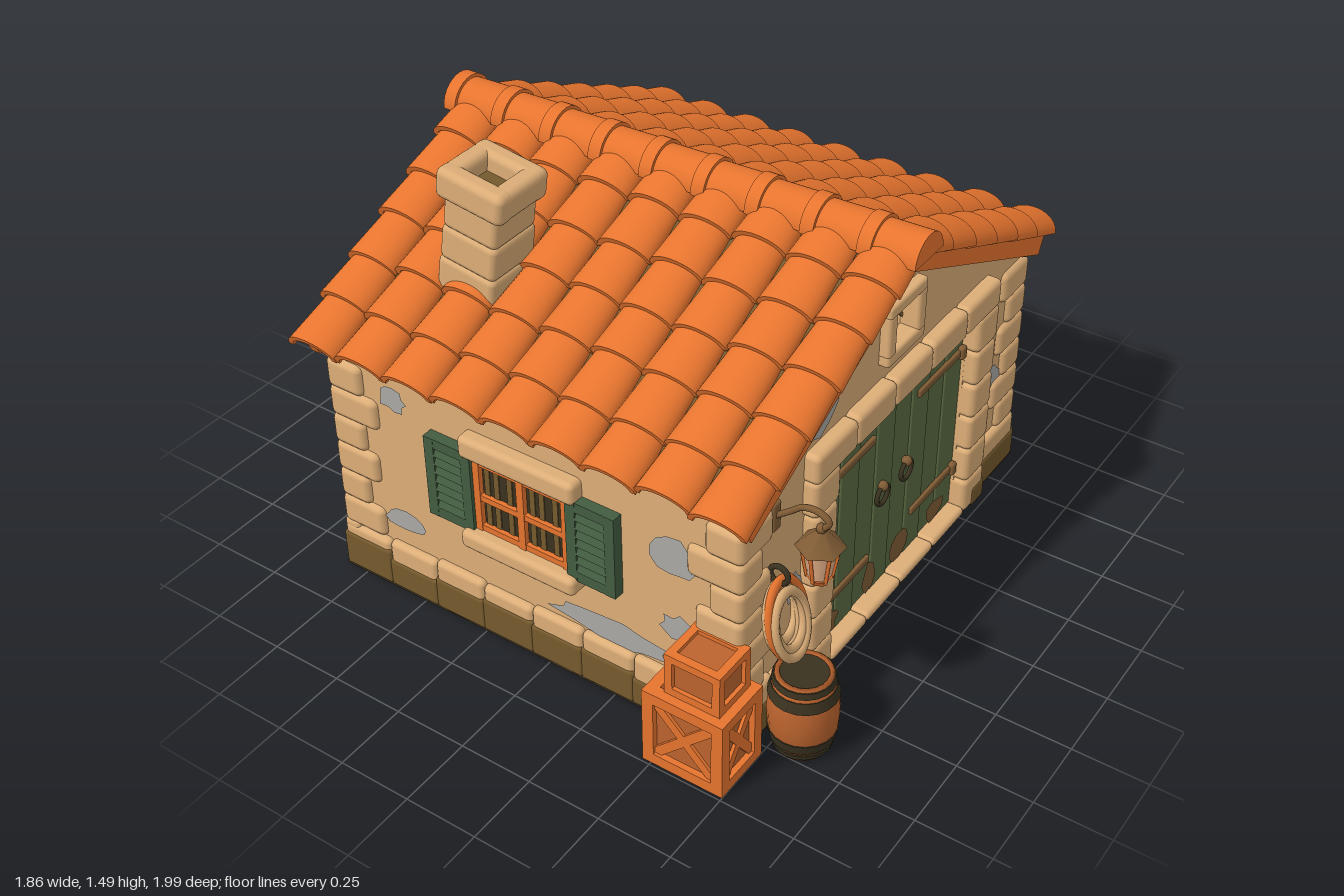
import * as THREE from 'three';
import { toCreasedNormals } from 'three/addons/utils/BufferGeometryUtils.js';
import { RoundedBoxGeometry } from 'three/addons/geometries/RoundedBoxGeometry.js';

export function createModel() {
  const mat = (name, color) => {
    const m = new THREE.MeshStandardMaterial({ color });
    m.name = name;
    return m;
  };
  const sand = mat('sandstone', 0xddae78), orange = mat('terracotta', 0xe8752f);
  const moss = mat('mossBrown', 0x765a2e), grey = mat('greyPlaster', 0xaaa9a6);
  const green = mat('doorGreen', 0x5b6b42), shutterGreen = mat('shutterGreen', 0x435c40);
  const dark = mat('darkIron', 0x3a3220), wood = mat('brownWood', 0x805c35);
  const barrelWood = mat('barrelWood', 0xbc642e), glow = mat('lampGlass', 0xf0b88e);

  const root = new THREE.Group();
  root.name = 'cottage';
  let seed = 7;
  const rnd = (a = -1, b = 1) => {
    seed = (seed * 16807) % 2147483647;
    return a + (b - a) * seed / 2147483647;
  };
  const mesh = (parent, name, geo, m, x = 0, y = 0, z = 0) => {
    const o = new THREE.Mesh(geo, m);
    o.name = name;
    o.position.set(x, y, z);
    parent.add(o);
    return o;
  };
  const group = (parent, name, x = 0, y = 0, z = 0, ry = 0) => {
    const g = new THREE.Group();
    g.name = name;
    g.position.set(x, y, z);
    g.rotation.y = ry;
    parent.add(g);
    return g;
  };
  const box = (p, name, m, w, h, d, x, y, z) => mesh(p, name, new THREE.BoxGeometry(w, h, d), m, x, y, z);
  const stone = (p, name, m, w, h, d, x, y, z, r = 0.02) =>
    mesh(p, name, new RoundedBoxGeometry(w, h, d, 2, Math.min(r, w / 2.1, h / 2.1, d / 2.1)), m, x, y, z);

  // Walls: solid core with a pierced gable at each end (shape x is -z)
  const gable = (pierced) => {
    const s = new THREE.Shape([[-0.8, 0.006], [0.9, 0.006], [0.9, 0.84], [0.02, 1.28], [-0.8, 0.86]].map(p => new THREE.Vector2(...p)));
    const hole = (x0, x1, y0, y1) => s.holes.push(new THREE.Path([[x0, y0], [x0, y1], [x1, y1], [x1, y0]].map(p => new THREE.Vector2(...p))));
    if (pierced) { hole(-0.34, 0.52, 0.02, 0.79); hole(-0.025, 0.115, 0.99, 1.13); }
    return s;
  };
  const wall = (name, pierced, x, depth) =>
    mesh(root, name, new THREE.ExtrudeGeometry(gable(pierced), { depth, bevelEnabled: false }).rotateY(Math.PI / 2), sand, x);
  wall('wallCore', false, -0.75, 1.37);
  wall('doorGable', true, 0.62, 0.06);
  wall('rearGable', true, -0.81, 0.06);
  box(root, 'underside', dark, 1.54, 0.01, 1.74, -0.065, 0.005, -0.045);

  // Plinth stones with a mossy foot, along a line from a to b
  const plinth = (ax, az, bx, bz) => {
    const len = Math.hypot(bx - ax, bz - az), n = Math.max(1, Math.round(len / 0.19));
    const g = group(root, 'plinth', ax, 0.003, az, Math.atan2(az - bz, bx - ax));
    for (let i = 0; i < n; i++) {
      const w = len / n, x = (i + 0.5) * w, h = rnd(0.175, 0.195), mh = rnd(0.1, 0.145);
      stone(g, 'plinthStone', sand, w + 0.004, h, 0.07, x, h / 2, 0);
      stone(g, 'mossyFoot', moss, w + 0.01, mh, 0.08, x, mh / 2, 0, 0.015);
    }
  };
  plinth(-0.83, 0.79, 0.7, 0.79);
  plinth(-0.83, -0.885, 0.7, -0.885);
  for (const x of [0.67, -0.8]) { plinth(x, 0.82, x, 0.47); plinth(x, -0.64, x, -0.91); }

  // Corner stones
  for (const sx of [-1, 1]) for (const sz of [-1, 1]) for (let i = 0; i < 6; i++) {
    const w = (i % 2 ? 0.13 : 0.18) + rnd() * 0.015, d = (i % 2 ? 0.18 : 0.13) + rnd() * 0.015;
    stone(root, 'cornerStone', sand, w, 0.116, d, (sx > 0 ? 0.7 : -0.835) - sx * w / 2, 0.235 + i * 0.108,
      (sz > 0 ? 0.82 : -0.918) - sz * d / 2, 0.025);
  }

  // Irregular thin patches of bare plaster, rust and moss
  const patch = (name, m, x, y, z, ry, rx, rY) => {
    const pts = [];
    for (let i = 0; i < 13; i++) {
      const a = i / 13 * Math.PI * 2, r = rnd(0.72, 1.15);
      pts.push(new THREE.Vector2(Math.cos(a) * rx * r, Math.sin(a) * rY * r));
    }
    mesh(root, name, new THREE.ShapeGeometry(new THREE.Shape(pts)), m, x, y, z).rotation.y = ry;
  };
  for (const [x, y, a, b] of [[0.47, 0.63, 0.09, 0.075], [0.24, 0.235, 0.24, 0.05], [0.47, 0.37, 0.06, 0.05], [-0.58, 0.76, 0.06, 0.045], [-0.58, 0.28, 0.08, 0.04]])
    patch('barePlaster', grey, x, y, 0.804, 0, a, b);
  for (const [x, y, a, b] of [[0.2, 0.24, 0.08, 0.04], [-0.5, 0.25, 0.05, 0.04]]) patch('barePlaster', grey, x, y, -0.904, Math.PI, a, b);
  for (const [z, y, a, b] of [[0.41, 0.98, 0.12, 0.075], [0.51, 0.42, 0.04, 0.06], [-0.72, 0.42, 0.08, 0.08], [-0.7, 0.75, 0.04, 0.035]])
    patch('barePlaster', grey, 0.684, y, z, Math.PI / 2, a, b);
  for (const [z, a, b] of [[0.27, 0.05, 0.05], [0.03, 0.04, 0.07], [-0.16, 0.06, 0.06], [-0.4, 0.06, 0.04]])
    patch('doorRust', wood, 0.673, 0.04 + b, z, Math.PI / 2, a, b);

  // Doorway and vent trim, local +z faces out of each gable
  const trim = (name, x, ry, ventX) => {
    const g = group(root, name, x, 0.003, -0.09, ry);
    for (const s of [-1, 1]) {
      for (let i = 0; i < 6; i++)
        stone(g, 'jambStone', sand, 0.13 + rnd() * 0.008, 0.138, 0.09, s * 0.495, 0.069 + i * 0.132, 0.005, 0.022);
      stone(g, 'jambMoss', moss, 0.09, 0.08, 0.098, s * 0.52, 0.04, 0.005, 0.015);
    }
    for (let i = 0; i < 5; i++) stone(g, 'lintelStone', sand, 0.228, 0.104 + rnd() * 0.006, 0.09, -0.448 + i * 0.224, 0.838, 0.005);
    for (let i = 0; i < 4; i++) stone(g, 'sillStone', sand, 0.215, 0.033, 0.1, -0.322 + i * 0.215, 0.017, 0, 0.015);
    const v = group(g, 'ventWindow', ventX, 1.057, 0);
    for (const s of [-1, 1]) {
      stone(v, 'ventStone', sand, 0.22, 0.045, 0.07, 0, s * 0.085, 0, 0.012);
      stone(v, 'ventStone', sand, 0.045, 0.15, 0.07, s * 0.088, 0, 0, 0.012);
      for (const o of [-0.035, 0.035])
        box(v, 'lattice', wood, 0.012, 0.13, 0.008, o, 0, -0.03 + s * 0.004).rotation.z = s * Math.PI / 4;
    }
    box(v, 'ventBack', dark, 0.14, 0.14, 0.01, 0, 0, -0.05);
    return g;
  };
  const doorSide = trim('doorSurround', 0.68, Math.PI / 2, -0.045);
  const rearSide = trim('rearSurround', -0.81, -Math.PI / 2, 0.045);
  box(rearSide, 'rearDoor', green, 0.86, 0.42, 0.02, 0, 0.58, -0.05);
  box(rearSide, 'rearDoorMud', moss, 0.86, 0.36, 0.02, 0, 0.19, -0.05);

  // Double doors
  for (let i = 0; i < 8; i++) stone(doorSide, 'doorPlank', green, 0.108, 0.77, 0.035, -0.376 + i * 0.1075, 0.41, -0.032 + (i % 2) * 0.005, 0.005);
  for (const s of [-1, 1]) {
    for (const y of [0.192, 0.667]) {
      stone(doorSide, 'strapHinge', wood, 0.29, 0.028, 0.015, s * 0.28, y, -0.006, 0.006);
      stone(doorSide, 'hingeKnuckle', wood, 0.03, 0.05, 0.025, s * 0.41, y, 0, 0.01);
    }
    mesh(doorSide, 'ringHandle', new THREE.TorusGeometry(0.034, 0.008, 8, 20), dark, s * 0.075, 0.41, 0);
    mesh(doorSide, 'handleBoss', new THREE.SphereGeometry(0.018, 10, 8), wood, s * 0.075, 0.445, 0);
  }

  // Shuttered windows
  const windowUnit = (z, ry) => {
    const g = group(root, 'window', -0.08, 0, z, ry);
    box(g, 'windowGlass', dark, 0.35, 0.28, 0.008, 0, 0.555, 0.004);
    for (const x of [-0.135, -0.1, -0.05, 0.035, 0.07, 0.12]) box(g, 'curtainFold', moss, 0.02, 0.28, 0.006, x, 0.555, 0.008);
    for (const x of [-0.166, 0, 0.166]) box(g, 'windowFrame', orange, 0.026, 0.28, 0.026, x, 0.555, 0.013);
    for (const y of [0.435, 0.55, 0.682]) box(g, 'windowFrame', orange, 0.35, 0.021, 0.024, 0, y, 0.012);
    stone(g, 'windowLintel', sand, 0.43, 0.08, 0.08, 0, 0.735, 0.01);
    stone(g, 'windowSill', sand, 0.43, 0.065, 0.11, 0, 0.39, 0.01);
    for (const s of [-1, 1]) {
      const h = group(g, 'shutter', s * 0.265, 0.56, 0.018);
      box(h, 'shutterPanel', shutterGreen, 0.16, 0.28, 0.02, 0, 0, 0);
      for (const t of [-1, 1]) {
        box(h, 'shutterStile', shutterGreen, 0.036, 0.3, 0.04, t * 0.07, 0, 0);
        box(h, 'shutterRail', shutterGreen, 0.17, 0.036, 0.038, 0, t * 0.132, 0);
      }
      for (let i = 0; i < 7; i++) box(h, 'louvre', shutterGreen, 0.11, 0.03, 0.008, 0, -0.1 + i * 0.033, 0.011).rotation.x = -0.5;
    }
  };
  windowUnit(0.8, 0);
  windowUnit(-0.9, Math.PI);

  // Tiled roof slopes, local +z runs down from the ridge
  const slope = (name, ry, angle, len) => {
    const g = group(group(root, name, -0.075, 1.325, -0.02, ry), 'slope');
    g.rotation.x = angle;
    const rows = 6, L = len / rows, D = L * 1.15;
    box(g, 'roofDeck', moss, 1.58, 0.035, len - 0.05, 0, -0.012, len / 2 - 0.025);
    box(g, 'eaveBoard', moss, 1.56, 0.05, 0.04, 0, -0.05, len - 0.09);
    for (let i = 0; i < 8; i++) box(g, 'rafter', wood, 0.05, 0.035, 0.16, -0.7 + i * 0.2, -0.045, len - 0.13);
    for (const s of [-1, 1]) box(g, 'bargeBoard', orange, 0.035, 0.07, len - 0.03, s * 0.785, -0.028, len / 2 - 0.015);
    const s = new THREE.Shape();
    s.absellipse(0, 0, 0.096, 0.066, 0, Math.PI, false);
    s.lineTo(-0.078, 0);
    s.absellipse(0, 0, 0.078, 0.048, Math.PI, 0, true);
    const geo = new THREE.ExtrudeGeometry(s, { depth: D, bevelEnabled: false, curveSegments: 9 });
    const p = geo.attributes.position;
    for (let i = 0; i < p.count; i++) {
      const k = 0.87 + 0.13 * p.getZ(i) / D;
      p.setXY(i, p.getX(i) * k, p.getY(i) * k);
    }
    const tile = toCreasedNormals(geo, 0.7);
    for (let r = 0; r < rows; r++) for (let c = -4; c <= 4; c++)
      mesh(g, 'roofTile', tile, orange, c * (0.188 - r * 0.001), 0.002, r * L - L * 0.15 + rnd() * 0.006)
        .rotation.set(-0.06, 0, rnd() * 0.03);
  };
  slope('frontRoof', 0, 0.462, 1.0);
  slope('backRoof', Math.PI, 0.437, 1.045);

  // Half-round ridge tiles with collars
  const ridge = (name, r0, r1, len, x) =>
    mesh(root, name, new THREE.CylinderGeometry(r0, r1, len, 14, 1, false, 0, Math.PI), orange, x, 1.325, -0.012).rotation.z = Math.PI / 2;
  for (let i = 0; i < 9; i++) {
    ridge('ridgeTile', 0.078, 0.083, 0.19, -0.835 + i * 0.19);
    ridge('ridgeCollar', 0.09, 0.09, 0.045, -0.907 + i * 0.19);
  }

  // Leaning chimney
  const ch = group(root, 'chimney', -0.46, 1.04, 0.475);
  ch.rotation.z = -0.14;
  for (let i = 0; i < 3; i++) stone(ch, 'chimneyStone', sand, 0.215 - i * 0.006, 0.125, 0.21 - i * 0.005, 0, 0.06 + i * 0.115, 0, 0.022);
  for (const s of [-1, 1]) {
    stone(ch, 'chimneyCap', sand, 0.25, 0.105, 0.07, 0, 0.385, s * 0.082, 0.025);
    stone(ch, 'chimneyCap', sand, 0.07, 0.1, 0.2, s * 0.09, 0.386, 0, 0.025);
  }
  box(ch, 'flue', moss, 0.13, 0.02, 0.13, 0, 0.365, 0);

  // Crates
  const crate = (w, h, d, x, y, z) => {
    const g = group(root, 'crate', x, y + h / 2, z), b = w * 0.14;
    box(g, 'crateBody', barrelWood, w - b, h - b, d - b, 0, 0, 0);
    for (const s of [-1, 1]) for (const t of [-1, 1]) {
      box(g, 'crateEdge', orange, w, b, b, 0, s * (h - b) / 2, t * (d - b) / 2);
      box(g, 'crateEdge', orange, b, h, b, s * (w - b) / 2, 0, t * (d - b) / 2);
      box(g, 'crateEdge', orange, b, b, d, s * (w - b) / 2, t * (h - b) / 2, 0);
      if (h > 0.2) {
        box(g, 'crateBrace', orange, w * 1.05, b * 0.8, 0.02, 0, 0, s * (d - b) / 2).rotation.z = t * Math.atan2(h - b, w - b);
        box(g, 'crateBrace', orange, 0.02, b * 0.8, d * 1.1, s * (w - b) / 2, 0, 0).rotation.x = t * Math.atan2(h - b, d - b);
      }
    }
  };
  crate(0.28, 0.28, 0.21, 0.61, 0, 0.885);
  crate(0.19, 0.15, 0.16, 0.625, 0.28, 0.88);

  // Barrel
  const barrel = group(root, 'barrel', 0.82, 0, 0.665);
  const staves = [[0, 0], [0.085, 0], [0.105, 0.08], [0.11, 0.145], [0.105, 0.21], [0.088, 0.285], [0.074, 0.285], [0.074, 0.265]];
  mesh(barrel, 'barrelStaves', new THREE.LatheGeometry(staves.map(p => new THREE.Vector2(...p)), 20), barrelWood);
  mesh(barrel, 'barrelLid', new THREE.CylinderGeometry(0.078, 0.078, 0.01, 20), wood, 0, 0.265);
  for (const [y, a, b, h] of [[0.06, 0.108, 0.101, 0.036], [0.228, 0.099, 0.109, 0.036], [0.27, 0.093, 0.098, 0.02], [0.02, 0.097, 0.092, 0.02]])
    mesh(barrel, 'barrelHoop', new THREE.CylinderGeometry(a, b, h, 20), dark, 0, y);

  // Rope coil on a hook
  const rope = group(root, 'ropeCoil', 0.735, 0.45, 0.65, Math.PI / 2);
  for (let i = 0; i < 5; i++) {
    const t = mesh(rope, 'ropeLoop', new THREE.TorusGeometry(0.068 + (i % 3) * 0.011, 0.013, 8, 28), i % 3 === 2 ? orange : sand, rnd() * 0.008, -i * 0.006, -0.012 + i * 0.01);
    t.scale.y = 1.45;
    t.rotation.set(-0.2, 0, rnd() * 0.12);
  }
  mesh(rope, 'ropeHook', new THREE.TorusGeometry(0.03, 0.009, 8, 16), dark, 0, 0.14, -0.02).rotation.y = Math.PI / 2;

  // Wall lantern
  const lamp = group(root, 'lantern', 0.84, 0, 0.64);
  const arm = [[-0.15, 0.79], [-0.1, 0.83], [-0.06, 0.862], [-0.01, 0.868], [0.025, 0.845], [0, 0.81]].map(([x, y]) => new THREE.Vector3(x, y, 0));
  mesh(lamp, 'lanternArm', new THREE.TubeGeometry(new THREE.CatmullRomCurve3(arm), 24, 0.01, 8), wood);
  stone(lamp, 'lanternBracket', wood, 0.02, 0.1, 0.04, -0.15, 0.79, 0, 0.008);
  mesh(lamp, 'lanternCap', new THREE.CylinderGeometry(0.016, 0.074, 0.055, 6), wood, 0, 0.78);
  mesh(lamp, 'lanternKnob', new THREE.SphereGeometry(0.016, 10, 8), wood, 0, 0.815);
  mesh(lamp, 'lanternGlass', new THREE.CylinderGeometry(0.054, 0.036, 0.11, 6), glow, 0, 0.7);
  mesh(lamp, 'lanternBase', new THREE.CylinderGeometry(0.042, 0.026, 0.025, 6), orange, 0, 0.635);
  for (let i = 0; i < 6; i++) {
    const a = i * Math.PI / 3, at = (r, y) => new THREE.Vector3(Math.sin(a) * r, y, Math.cos(a) * r);
    mesh(lamp, 'lanternBar', new THREE.TubeGeometry(new THREE.LineCurve3(at(0.036, 0.64), at(0.056, 0.757)), 1, 0.006, 5), orange);
  }
  return root;
}
